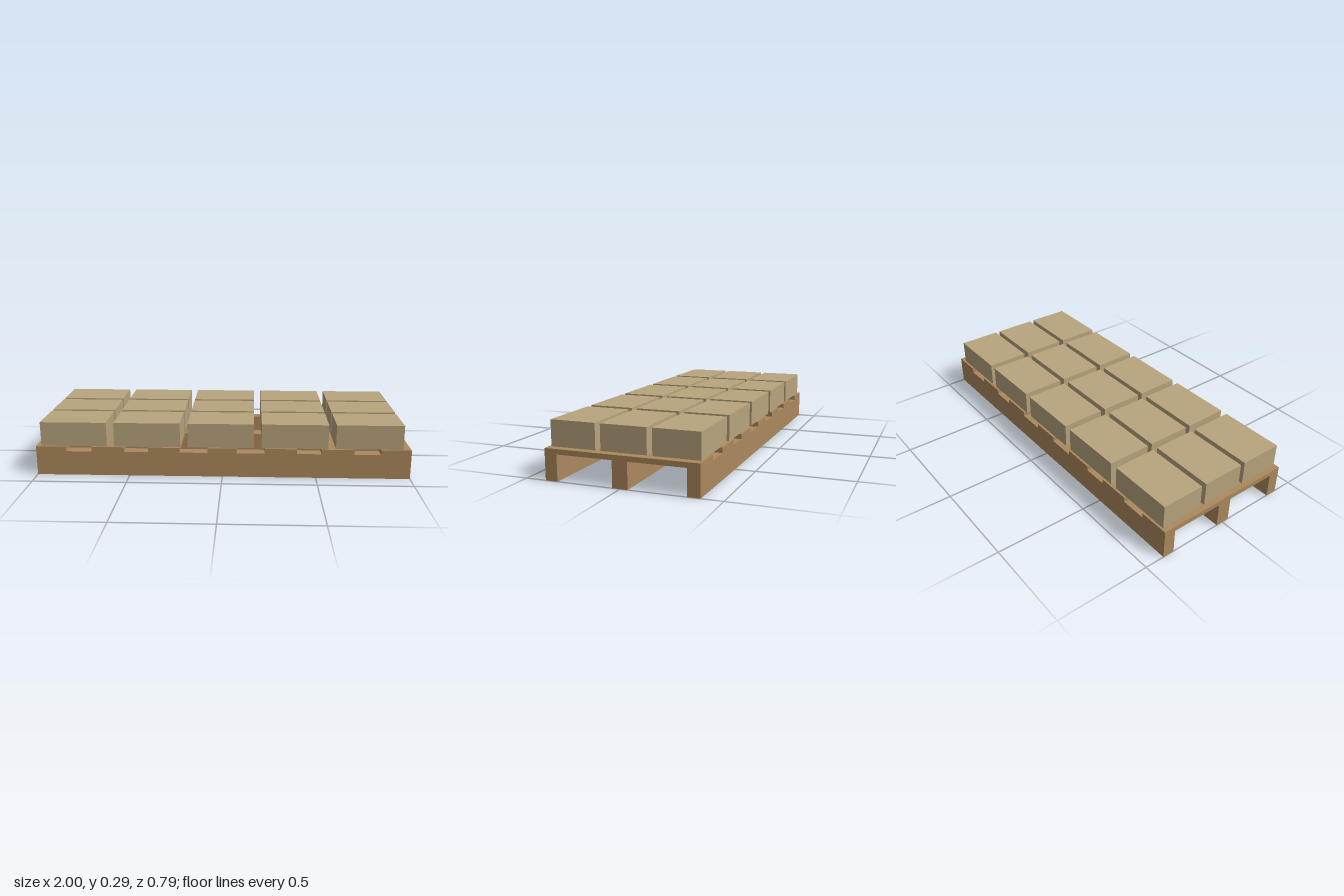
import * as THREE from 'three';

export function createModel() {
  const model = new THREE.Group();
  model.name = 'loadedPallet';

  const wood = new THREE.MeshStandardMaterial({ name: 'pallet wood', color: 0xac895d });
  const cardboard = new THREE.MeshStandardMaterial({ name: 'cardboard', color: 0xb8a47d });

  // Box given by its extents on each axis
  function block(name, material, [x0, x1], [y0, y1], [z0, z1], parent) {
    const mesh = new THREE.Mesh(new THREE.BoxGeometry(x1 - x0, y1 - y0, z1 - z0), material);
    mesh.position.set((x0 + x1) / 2, (y0 + y1) / 2, (z0 + z1) / 2);
    mesh.name = name;
    parent.add(mesh);
  }

  const pallet = new THREE.Group();
  pallet.name = 'pallet';
  const cartons = new THREE.Group();
  cartons.name = 'cartons';
  model.add(pallet, cartons);

  const deckBottom = 0.133, deckTop = 0.159, cartonTop = 0.29, halfDepth = 0.393;

  // Three long bearers
  for (const z of [[-halfDepth, -0.329], [-0.039, 0.039], [0.329, halfDepth]]) {
    block('bearer', wood, [-1, 1], [0, deckBottom], z, pallet);
  }

  // Seven deck boards across the bearers
  const boards = [
    [-1, -0.84], [-0.7, -0.526], [-0.396, -0.227], [-0.077, 0.077],
    [0.227, 0.396], [0.526, 0.7], [0.84, 1],
  ];
  for (const x of boards) {
    block('deckBoard', wood, x, [deckBottom, deckTop], [-halfDepth, halfDepth], pallet);
  }

  // Five by three cartons in one layer
  const halfW = 0.177, halfD = 0.118;
  for (let col = -2; col <= 2; col++) {
    for (let row = -1; row <= 1; row++) {
      const x = -0.008 + col * 0.394, z = row * 0.263;
      block('carton', cardboard, [x - halfW, x + halfW], [deckTop, cartonTop], [z - halfD, z + halfD], cartons);
    }
  }

  return model;
}
